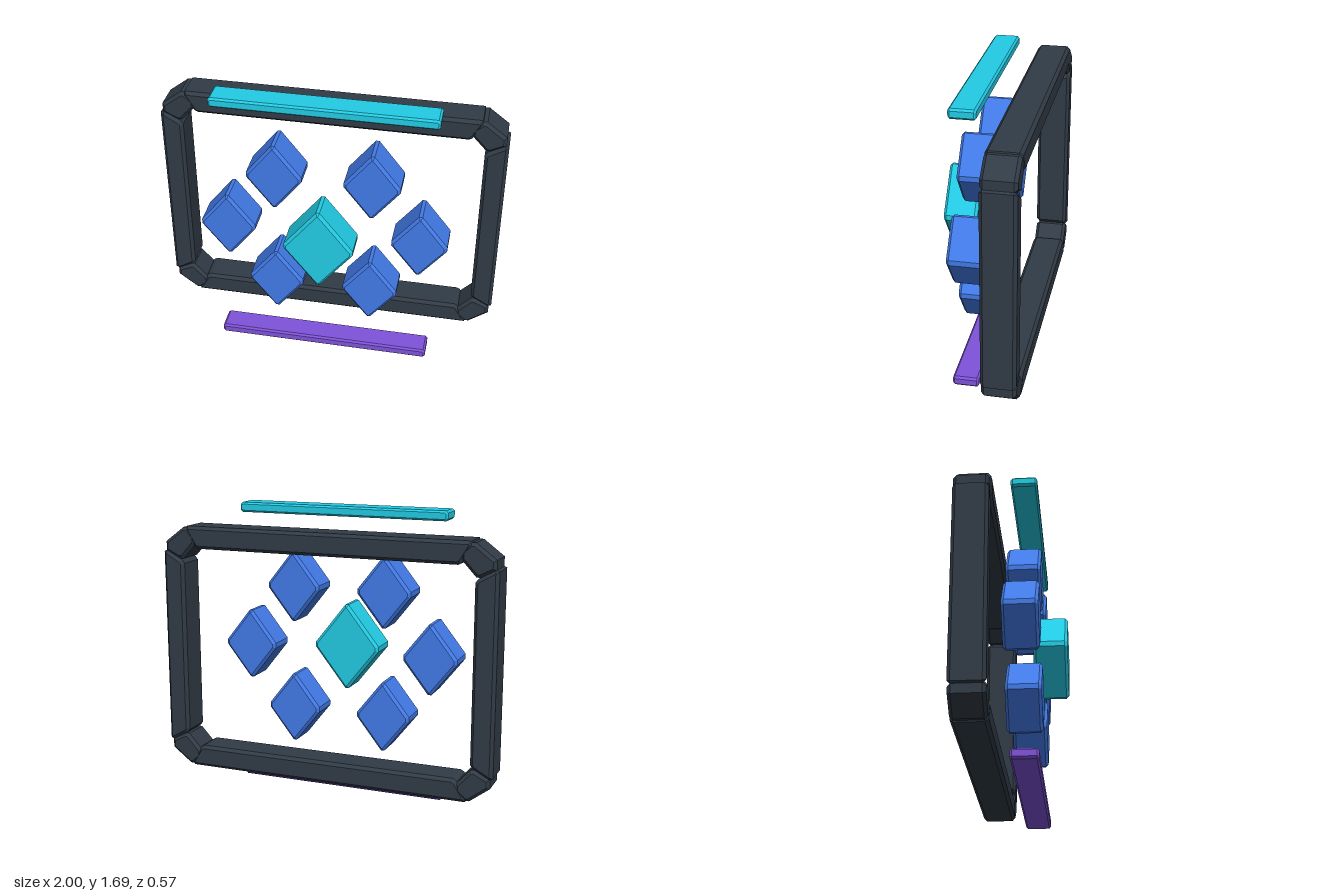
import * as THREE from 'three';

const mat = (name, color) => {
  const m = new THREE.MeshStandardMaterial({ color });
  m.name = name;
  return m;
};

// Moves every side of a counter-clockwise outline inward by d
function inset(pts, d) {
  const n = pts.length;
  return pts.map((p, i) => {
    const a = pts[(i + n - 1) % n], b = pts[(i + 1) % n];
    const u = new THREE.Vector2(p[0] - a[0], p[1] - a[1]).normalize();
    const v = new THREE.Vector2(b[0] - p[0], b[1] - p[1]).normalize();
    const k = d / (1 + u.dot(v));
    return [p[0] - (u.y + v.y) * k, p[1] + (u.x + v.x) * k];
  });
}

// Convex prism along z with a flat chamfer around the front and back faces
function bevelledPrism(pts, z0, z1, bevel) {
  const n = pts.length, small = inset(pts, bevel);
  const rings = [[small, z0], [pts, z0 + bevel], [pts, z1 - bevel], [small, z1]]
    .map(([ring, z]) => ring.map(([x, y]) => [x, y, z]));
  const pos = [];
  const tri = (a, b, c) => pos.push(...a, ...b, ...c);
  for (let r = 0; r < 3; r++) {
    for (let i = 0; i < n; i++) {
      const j = (i + 1) % n;
      tri(rings[r][i], rings[r][j], rings[r + 1][j]);
      tri(rings[r][i], rings[r + 1][j], rings[r + 1][i]);
    }
  }
  for (let i = 1; i < n - 1; i++) {
    tri(rings[3][0], rings[3][i], rings[3][i + 1]);
    tri(rings[0][0], rings[0][i + 1], rings[0][i]);
  }
  const g = new THREE.BufferGeometry();
  g.setAttribute('position', new THREE.Float32BufferAttribute(pos, 3));
  g.computeVertexNormals();
  return g;
}

// Mirrors an outline and keeps it counter-clockwise
function mirror(pts, sx, sy) {
  const out = pts.map(([x, y]) => [x * sx, y * sy]);
  return sx * sy < 0 ? out.reverse() : out;
}

// Diamond with slightly blunted tips
const diamond = (w, h) => [
  [w, -0.015], [w, 0.015], [0.01, h], [-0.01, h],
  [-w, 0.015], [-w, -0.015], [-0.01, -h], [0.01, -h],
];

export function createModel() {
  const root = new THREE.Group();
  const frameMat = mat('dark slate', 0x313b46);
  const blue = mat('blue', 0x437cea);
  const cyan = mat('cyan', 0x22cbe4);
  const purple = mat('purple', 0x7f52da);

  const add = (parent, name, geo, material, x = 0, y = 0) => {
    const m = new THREE.Mesh(geo, material);
    m.name = name;
    m.position.set(x, y, 0);
    parent.add(m);
  };

  // Frame of four mitred rails and four angled corner blocks, centred on y = 0.845
  const frame = new THREE.Group();
  frame.name = 'frame';
  frame.position.y = 0.845;
  root.add(frame);
  const topRail = [[-0.775, 0.595], [0.775, 0.595], [0.795, 0.605], [0.853, 0.7], [0.845, 0.725],
    [-0.845, 0.725], [-0.853, 0.7], [-0.795, 0.605]];
  const sideRail = [[0.98, -0.58], [1, -0.57], [1, 0.57], [0.98, 0.58],
    [0.885, 0.525], [0.87, 0.505], [0.87, -0.505], [0.885, -0.525]];
  const corner = [[0.985, 0.575], [0.985, 0.63], [0.87, 0.717], [0.845, 0.717],
    [0.79, 0.67], [0.79, 0.625], [0.875, 0.533], [0.9, 0.533]];
  for (const s of [1, -1]) {
    add(frame, s > 0 ? 'topRail' : 'bottomRail',
      bevelledPrism(mirror(topRail, 1, s), -0.285, -0.09, 0.018), frameMat);
    add(frame, s > 0 ? 'leftRail' : 'rightRail',
      bevelledPrism(mirror(sideRail, s, 1), -0.285, -0.09, 0.018), frameMat);
    for (const t of [1, -1]) {
      add(frame, 'cornerBlock',
        bevelledPrism(mirror(corner, s, t), -0.284, -0.091, 0.018), frameMat);
    }
  }

  // Ring of six diamonds around a larger one set further forward
  const small = bevelledPrism(diamond(0.16, 0.205), -0.05, 0.15, 0.016);
  for (const s of [1, -1]) {
    add(root, 'upperDiamond', small, blue, 0.28 * s, 1.213);
    add(root, 'sideDiamond', small, blue, 0.56 * s, 0.847);
    add(root, 'lowerDiamond', small, blue, 0.28 * s, 0.48);
  }
  add(root, 'centreDiamond', bevelledPrism(diamond(0.2, 0.255), 0.09, 0.287, 0.016), cyan, 0, 0.845);

  // Slim bars floating above and below the frame
  const w = 0.635, h = 0.029, c = 0.012;
  const bar = bevelledPrism([
    [w - c, -h], [w, c - h], [w, h - c], [w - c, h],
    [c - w, h], [-w, h - c], [-w, c - h], [c - w, -h],
  ], -0.005, 0.145, 0.011);
  add(root, 'upperBar', bar, cyan, 0, 1.66);
  add(root, 'lowerBar', bar, purple, 0, 0.03);

  return root;
}
